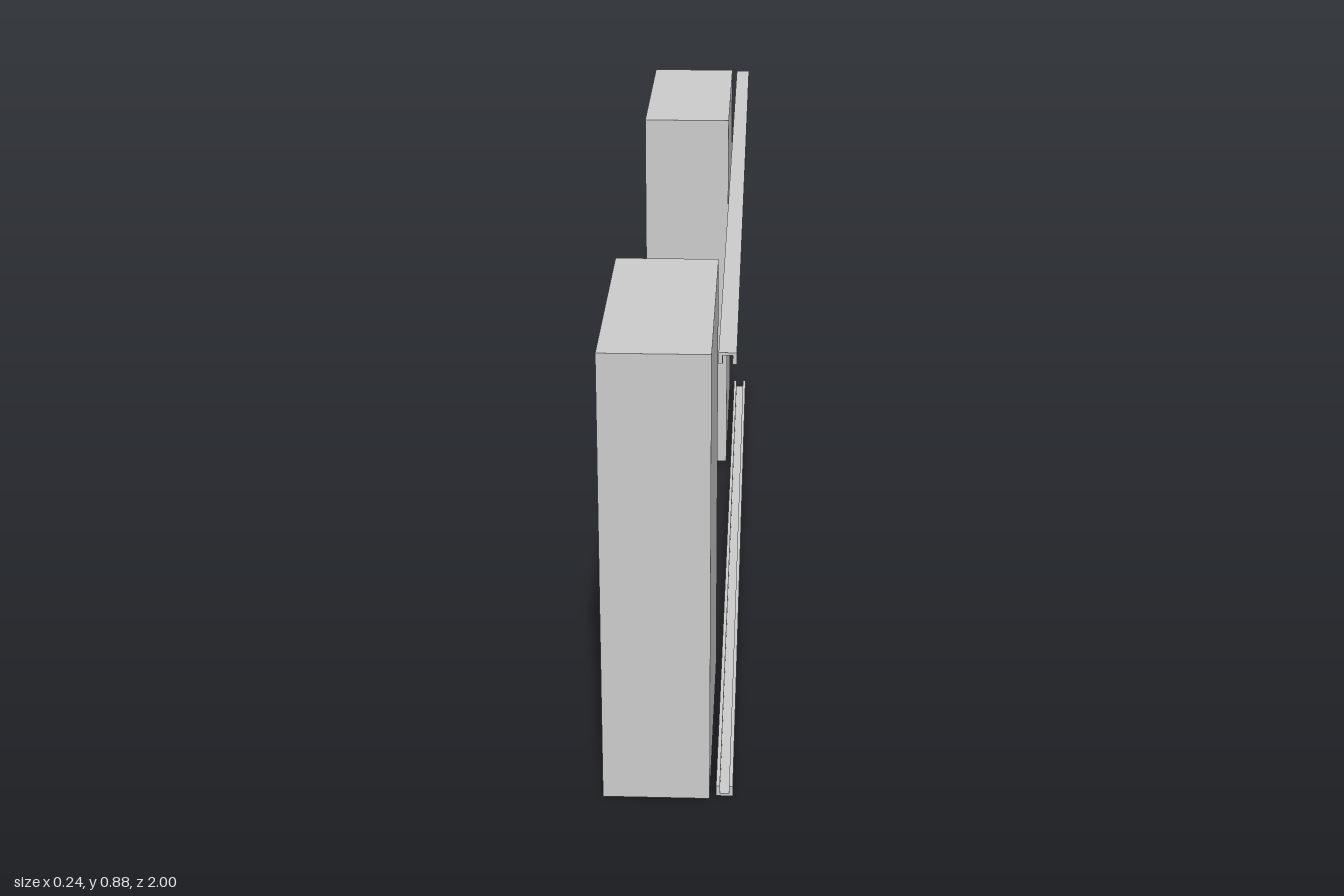
import * as THREE from 'three';

const HEIGHT = 0.88;

export function createModel() {
  const model = new THREE.Group();
  const material = new THREE.MeshStandardMaterial({ color: 0xcccccc, flatShading: true });

  // Two plain uprights, one at each end
  for (const [name, side] of [['frontPanel', 1], ['backPanel', -1]]) {
    const panel = new THREE.Mesh(new THREE.BoxGeometry(0.197, HEIGHT, 0.497), material);
    panel.name = name;
    panel.position.set(-0.0215, HEIGHT / 2, side * 0.7515);
    model.add(panel);
  }

  // U-shaped channel section, open upwards
  const w = 0.0155, h = 0.021, leg = 0.007, web = 0.005;
  const section = new THREE.Shape([
    [-w, 0], [w, 0], [w, h], [w - leg, h],
    [w - leg, web], [leg - w, web], [leg - w, h], [-w, h],
  ].map(([x, y]) => new THREE.Vector2(x, y)));
  const length = 1.98;
  const channel = new THREE.ExtrudeGeometry(section, { depth: length, bevelEnabled: false });
  channel.translate(0, 0, -length / 2);

  // Lower rail opens up, upper rail is turned over to face it
  const lowerRail = new THREE.Mesh(channel, material);
  lowerRail.name = 'lowerRail';
  lowerRail.position.set(0.104, 0, 0);
  const upperRail = new THREE.Mesh(channel, material);
  upperRail.name = 'upperRail';
  upperRail.position.set(0.104, HEIGHT, 0);
  upperRail.rotation.z = Math.PI;
  model.add(lowerRail, upperRail);

  return model;
}
